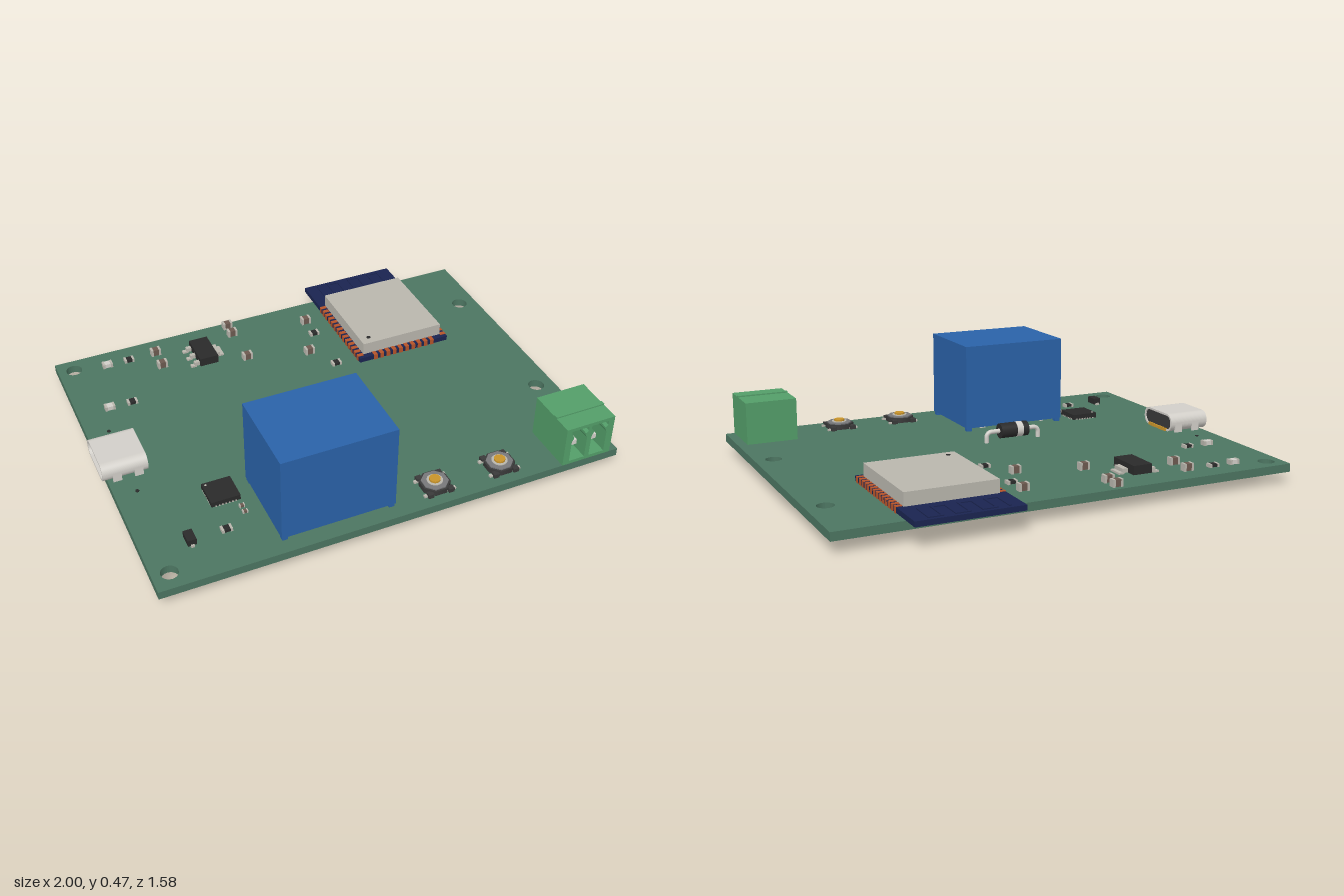
import * as THREE from 'three';

const C = {
  board: 0x4c7561, blue: 0x2a62a8, green: 0x539e69, navy: 0x1a2450, tin: 0xb9b6ad, steel: 0xd2cfc9,
  black: 0x2a2a2a, dark: 0x3a3a3a, copper: 0xb5532a, gold: 0xc8932a, brown: 0x6d5a50, grey: 0x77787a,
};
const mats = {};
const mat = (c) => (mats[c] ??= new THREE.MeshStandardMaterial({ color: C[c] }));
const TOP = 0.085;

function add(parent, name, geo, color, x = 0, y = 0, z = 0) {
  const m = new THREE.Mesh(geo, mat(color));
  m.name = name;
  m.position.set(x, y, z);
  parent.add(m);
  return m;
}
// box given by its extents
function box(parent, name, color, x0, x1, y0, y1, z0, z1) {
  return add(parent, name, new THREE.BoxGeometry(x1 - x0, y1 - y0, z1 - z0), color,
    (x0 + x1) / 2, (y0 + y1) / 2, (z0 + z1) / 2);
}
function sub(parent, name, x = 0, y = 0, z = 0) {
  const g = new THREE.Group();
  g.name = name;
  g.position.set(x, y, z);
  parent.add(g);
  return g;
}
const poly = (pts, Type = THREE.Shape) => new Type(pts.map(([x, y]) => new THREE.Vector2(x, y)));
const extrude = (shape, depth) => new THREE.ExtrudeGeometry(shape, { depth, bevelEnabled: false, curveSegments: 12 });
// stadium outline, half width w and half height h
function stadium(w, h, r, Type = THREE.Shape) {
  const s = new Type();
  s.absarc(w - r, h - r, r, 0, Math.PI / 2);
  s.absarc(r - w, h - r, r, Math.PI / 2, Math.PI);
  s.absarc(r - w, r - h, r, Math.PI, Math.PI * 1.5);
  s.absarc(w - r, r - h, r, Math.PI * 1.5, Math.PI * 2);
  s.closePath();
  return s;
}

function board(root) {
  const s = poly([[-0.98, -0.79], [1, -0.79], [1, 0.7], [-0.98, 0.7]]);
  for (const [x, z] of [[-0.91, -0.63], [-0.91, 0.71], [0.92, -0.405], [0.92, 0.29]])
    s.holes.push(new THREE.Path().absarc(x, -z, 0.035, 0, Math.PI * 2, true));
  add(root, 'circuitBoard', extrude(s, 0.035).rotateX(-Math.PI / 2), 'board', 0, 0.05, 0);
}

function relay(root) {
  const g = sub(root, 'relay');
  box(g, 'relayCase', 'blue', -0.47, 0.01, 0.1, 0.475, 0.35, 0.73);
  for (const x of [-0.455, -0.005]) for (const z of [0.365, 0.715])
    box(g, 'relayFoot', 'blue', x - 0.012, x + 0.012, TOP, 0.1, z - 0.012, z + 0.012);
  box(g, 'relayPin', 'steel', -0.446, -0.434, 0, 0.1, 0.532, 0.558);
  for (const z of [0.395, 0.695]) {
    box(g, 'relayPin', 'steel', -0.398, -0.384, 0, 0.1, z - 0.006, z + 0.006);
    box(g, 'relayPin', 'steel', -0.102, -0.077, 0, 0.1, z - 0.006, z + 0.006);
  }
}

function terminal(root) {
  const g = sub(root, 'terminalBlock');
  // front section with two keyed sockets
  const s = poly([[0.735, TOP], [0.96, TOP], [0.96, 0.27], [0.735, 0.27]]);
  for (const x of [0.8, 0.893]) {
    const half = [[0.036, 0.1], [0.036, 0.2], [0.028, 0.215], [0.028, 0.225], [0.04, 0.235], [0.04, 0.255]];
    s.holes.push(poly([...half.map(([u, y]) => [x + u, y]),
      ...half.reverse().map(([u, y]) => [x - u, y])], THREE.Path));
    box(g, 'terminalPin', 'steel', x - 0.011, x + 0.011, 0.153, 0.175, 0.59, 0.76);
    box(g, 'terminalTail', 'steel', x - 0.011, x + 0.011, 0, 0.153, 0.585, 0.607);
  }
  add(g, 'terminalSockets', extrude(s, 0.19), 'green', 0, 0, 0.6);
  box(g, 'terminalBack', 'green', 0.735, 0.96, TOP, 0.27, 0.56, 0.602);
  box(g, 'terminalRidge', 'green', 0.735, 0.96, 0.27, 0.276, 0.69, 0.71);
}

function usbPort(root) {
  const g = sub(root, 'usbPort', -0.81, 0.126, 0.042);
  const shell = stadium(0.112, 0.04, 0.038);
  shell.holes.push(stadium(0.103, 0.031, 0.03, THREE.Path));
  add(g, 'portShell', extrude(shell, 0.19).rotateY(-Math.PI / 2), 'steel');
  add(g, 'portBack', extrude(stadium(0.104, 0.032, 0.03), 0.04).rotateY(-Math.PI / 2), 'dark', -0.005);
  box(g, 'portTongue', 'black', -0.165, -0.04, -0.01, 0.01, -0.075, 0.075);
  for (let i = 0; i < 12; i++) {
    const z = -0.066 + i * 0.012;
    box(g, 'portContact', 'gold', -0.01, 0.006, -0.041, -0.028, z - 0.003, z + 0.003);
  }
  for (const z of [-0.108, 0.108]) for (const x of [-0.13, -0.04])
    box(g, 'shellTab', 'steel', x - 0.018, x + 0.018, -0.06, 0, z - 0.004, z + 0.004);
  for (const z of [-0.2, 0.2])
    add(root, 'locatingDot', new THREE.CylinderGeometry(0.008, 0.008, 0.003, 12), 'black', -0.887, TOP + 0.001, 0.04 + z);
}

function radioModule(root) {
  const g = sub(root, 'radioModule');
  box(g, 'moduleBoard', 'navy', 0.28, 0.72, 0.088, 0.11, -0.79, -0.165);
  box(g, 'shieldCan', 'tin', 0.308, 0.694, 0.11, 0.165, -0.618, -0.19);
  add(g, 'shieldMark', new THREE.CylinderGeometry(0.009, 0.009, 0.002, 16), 'black', 0.35, 0.166, -0.23);
  // edge contacts
  for (let i = 0; i < 14; i++) {
    const z = -0.6 + i * 0.0315;
    for (const x of [0.292, 0.708])
      box(g, 'edgeContact', 'copper', x - 0.014, x + 0.014, 0.086, 0.112, z - 0.009, z + 0.009);
  }
  for (let i = 0; i < 10; i++) {
    const x = 0.358 + i * 0.0316;
    box(g, 'edgeContact', 'copper', x - 0.009, x + 0.009, 0.086, 0.112, -0.19, -0.163);
  }
  // meandering antenna trace
  for (let i = 0; i < 7; i++) {
    const x = 0.34 + i * 0.053;
    box(g, 'antennaTrace', 'navy', x - 0.005, x + 0.005, 0.11, 0.114, -0.775, -0.66);
    const z = i % 2 ? -0.77 : -0.665;
    if (i < 6) box(g, 'antennaTrace', 'navy', x, x + 0.053, 0.11, 0.114, z - 0.005, z + 0.005);
  }
}

function button(root, x) {
  const g = sub(root, 'pushButton', x, TOP, 0.685);
  const cyl = (r, h, n) => new THREE.CylinderGeometry(r, r, h, n).rotateY(Math.PI / n);
  add(g, 'buttonBody', cyl(0.064, 0.022, 8), 'dark', 0, 0.013);
  add(g, 'buttonCover', cyl(0.056, 0.006, 8), 'grey', 0, 0.026);
  add(g, 'buttonRing', cyl(0.033, 0.004, 24), 'tin', 0, 0.03);
  add(g, 'buttonPlunger', cyl(0.023, 0.012, 24), 'gold', 0, 0.034);
  for (const sx of [-1, 1]) for (const sz of [-1, 1]) {
    box(g, 'buttonLeg', 'tin', sx * 0.05 - 0.02, sx * 0.05 + 0.02, 0, 0.008, sz * 0.045 - 0.007, sz * 0.045 + 0.007);
    box(g, 'buttonCorner', 'dark', sx * 0.045 - 0.012, sx * 0.045 + 0.012, 0, 0.018, sz * 0.051 - 0.012, sz * 0.051 + 0.012);
  }
}

function diode(root) {
  const g = sub(root, 'diode', 0, 0, 0.14);
  const body = (name, c, r, x0, x1) =>
    add(g, name, new THREE.CylinderGeometry(r, r, x1 - x0, 28).rotateZ(Math.PI / 2), c, (x0 + x1) / 2, 0.132);
  body('diodeBody', 'black', 0.033, -0.185, -0.053);
  body('diodeBand', 'steel', 0.0335, -0.158, -0.128);
  for (const s of [-1, 1]) {
    const p = (dx, y) => new THREE.Vector3(-0.117 + s * dx, y, 0);
    const path = new THREE.CurvePath();
    path.add(new THREE.LineCurve3(p(0.05, 0.132), p(0.1, 0.132)));
    path.add(new THREE.QuadraticBezierCurve3(p(0.1, 0.132), p(0.126, 0.132), p(0.126, 0.106)));
    path.add(new THREE.LineCurve3(p(0.126, 0.106), p(0.126, 0.025)));
    add(g, 'diodeLead', new THREE.TubeGeometry(path, 30, 0.01, 10), 'steel');
    add(g, 'leadEnd', new THREE.CylinderGeometry(0.01, 0.007, 0.004, 10), 'steel', -0.117 + s * 0.126, 0.024);
  }
}

// chip with solder ends along x
function chip(root, name, x, z, color, size = 1, h = 0.024) {
  const g = sub(root, name, x, TOP, z);
  const w = 0.022 * size, d = 0.015 * size;
  box(g, 'chipBody', color, -w * 0.6, w * 0.6, 0.002, h * size, -d * 0.95, d * 0.95);
  for (const s of [-1, 1])
    box(g, 'chipEnd', 'tin', s * w * 0.78 - w * 0.22, s * w * 0.78 + w * 0.22, 0, h * size + 0.001, -d, d);
}

function packages(root) {
  // voltage regulator with three legs and a tab
  const r = sub(root, 'regulator');
  box(r, 'regulatorBody', 'black', -0.385, -0.3, 0.09, 0.128, -0.58, -0.425);
  for (const z of [-0.56, -0.502, -0.445]) {
    box(r, 'regulatorLeg', 'tin', -0.425, -0.4, TOP, 0.093, z - 0.009, z + 0.009);
    box(r, 'regulatorLeg', 'tin', -0.408, -0.384, 0.09, 0.108, z - 0.009, z + 0.009);
  }
  box(r, 'regulatorTab', 'tin', -0.284, -0.258, TOP, 0.093, -0.535, -0.47);
  box(r, 'regulatorTab', 'tin', -0.301, -0.276, 0.09, 0.108, -0.535, -0.47);
  // flat chip with pads round the rim
  const q = sub(root, 'controllerChip', -0.59, TOP, 0.39);
  box(q, 'controllerBody', 'black', -0.061, 0.061, 0.002, 0.025, -0.06, 0.06);
  add(q, 'cornerDot', new THREE.CylinderGeometry(0.005, 0.005, 0.002, 12), 'tin', -0.047, 0.0255, -0.046);
  for (let i = 0; i < 7; i++) for (const s of [-1, 1]) {
    const t = -0.042 + i * 0.014;
    box(q, 'chipPad', 'tin', s * 0.058 - 0.004, s * 0.058 + 0.004, 0, 0.006, t - 0.003, t + 0.003);
    box(q, 'chipPad', 'tin', t - 0.003, t + 0.003, 0, 0.006, s * 0.058 - 0.004, s * 0.058 + 0.004);
  }
  // small signal diode
  const d = sub(root, 'signalDiode', -0.787, TOP, 0.587);
  box(d, 'signalDiodeBody', 'black', -0.018, 0.018, 0.004, 0.032, -0.03, 0.03);
  box(d, 'signalDiodeLegs', 'tin', -0.007, 0.007, 0, 0.01, -0.038, 0.038);
}

export function createModel() {
  const root = new THREE.Group();
  root.name = 'controlBoard';
  board(root);
  relay(root);
  terminal(root);
  usbPort(root);
  radioModule(root);
  button(root, 0.205);
  button(root, 0.5);
  diode(root);
  packages(root);
  for (const [x, z] of [[-0.54, -0.6], [-0.54, -0.5], [-0.17, -0.665], [-0.17, -0.6], [-0.17, -0.405], [0.18, -0.555], [0.103, -0.33]])
    chip(root, 'capacitor', x, z, 'brown', 1, 0.031);
  for (const [x, z] of [[-0.665, -0.6], [0.18, -0.455], [0.18, -0.205], [-0.74, -0.305], [-0.64, 0.587]])
    chip(root, 'resistor', x, z, 'black', 1, 0.014);
  for (const [x, z] of [[-0.765, -0.6], [-0.84, -0.305]]) chip(root, 'indicatorLight', x, z, 'steel', 1, 0.02);
  for (const z of [0.49, 0.525]) chip(root, 'tinyCapacitor', -0.54, z, 'brown', 0.5);
  return root;
}
